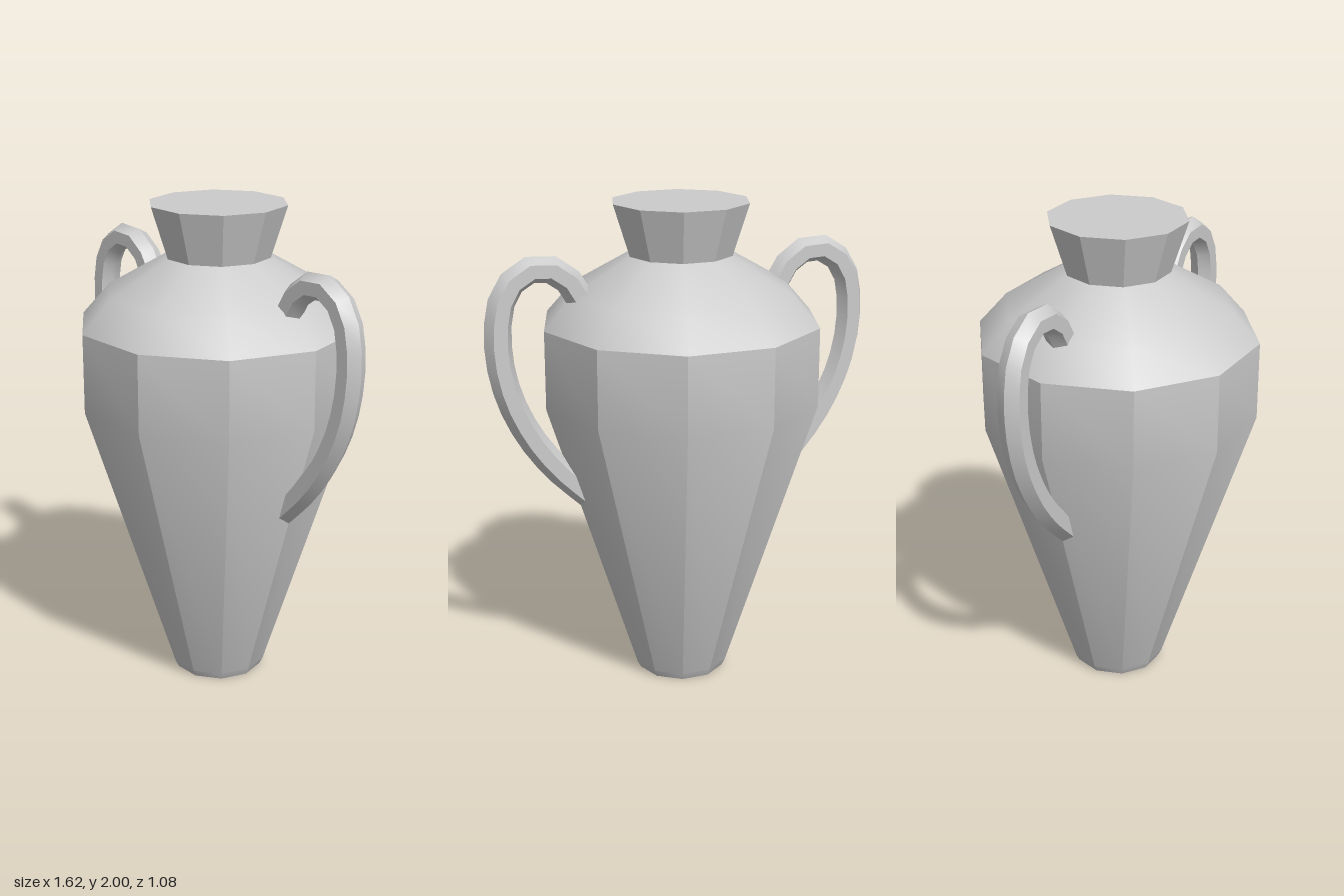
import * as THREE from 'three';
import { toCreasedNormals } from 'three/addons/utils/BufferGeometryUtils.js';

const material = new THREE.MeshStandardMaterial({ color: 0xcccccc });

function part(name, geometry, crease) {
  const mesh = new THREE.Mesh(toCreasedNormals(geometry, crease), material);
  mesh.name = name;
  return mesh;
}

export function createModel() {
  const model = new THREE.Group();
  model.name = 'amphora';

  // Ten-sided body with closed foot and mouth; corners point along x
  const profile = [
    [0, 0], [0.183, 0], [0.198, 0.03], [0.57, 1.2], [0.57, 1.52],
    [0.455, 1.65], [0.213, 1.79], [0.28, 2], [0, 2],
  ].map(([r, y]) => new THREE.Vector2(r, y));
  model.add(part('body', new THREE.LatheGeometry(profile, 10, Math.PI / 2), 0.58));

  // Handle centre line, from the shoulder over the top and down to the belly
  const path = new THREE.CatmullRomCurve3([
    [0.42, 1.64], [0.48, 1.73], [0.58, 1.775], [0.675, 1.74], [0.73, 1.665],
    [0.753, 1.56], [0.75, 1.41], [0.712, 1.25], [0.635, 1.09], [0.53, 0.948], [0.39, 0.81],
  ].map(([x, y]) => new THREE.Vector3(x, y, 0)));

  // Hexagonal section with its ridges on the outside and inside of the loop
  const section = new THREE.Shape(Array.from({ length: 6 }, (_, i) => {
    const a = Math.PI / 2 + (i * Math.PI) / 3;
    return new THREE.Vector2(Math.cos(a) * 0.055, Math.sin(a) * 0.055);
  }));
  const handle = new THREE.ExtrudeGeometry(section, { steps: 16, extrudePath: path });

  const leftHandle = part('leftHandle', handle, 0.7);
  const rightHandle = part('rightHandle', handle, 0.7);
  rightHandle.rotation.y = Math.PI;
  model.add(leftHandle, rightHandle);

  return model;
}
